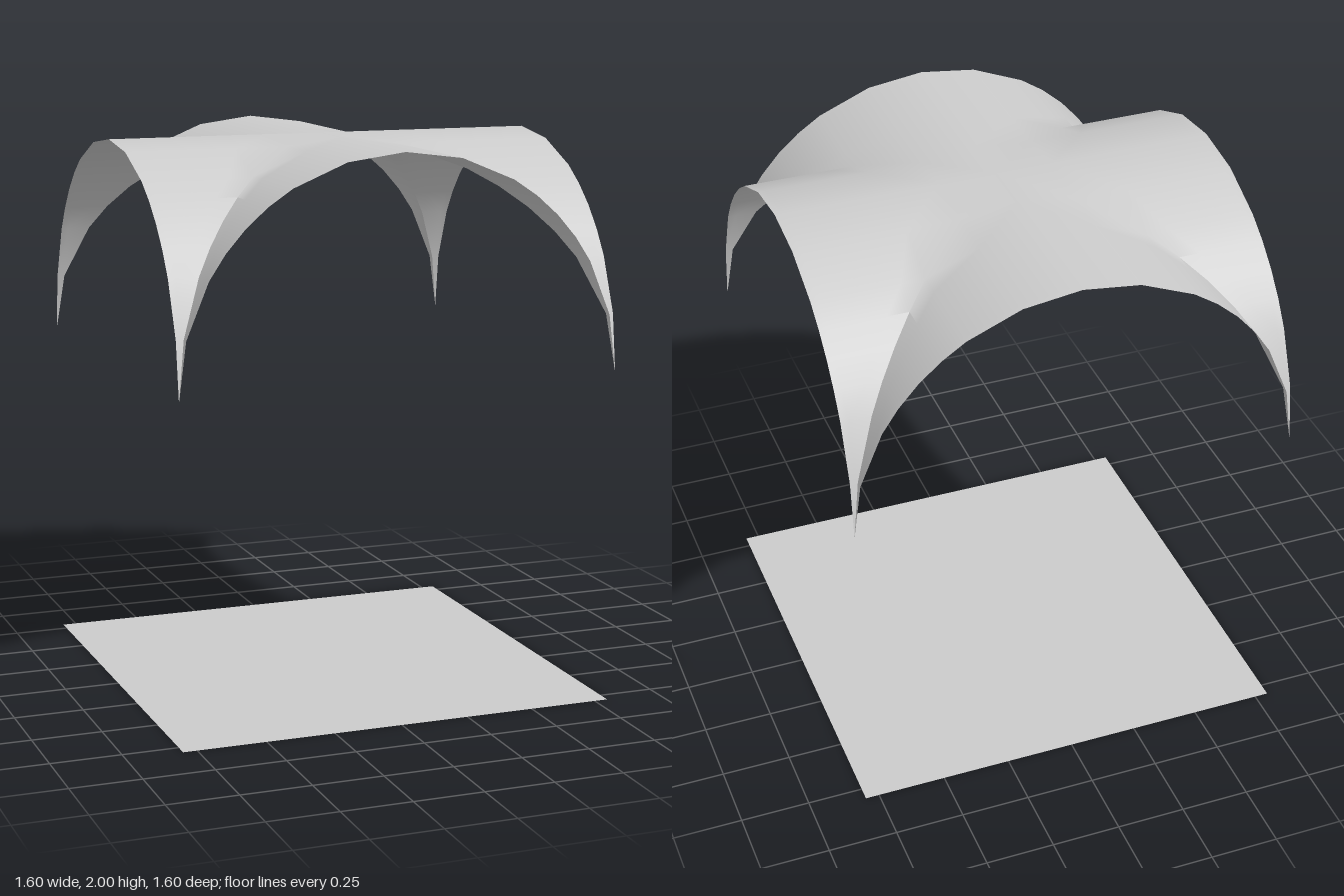
import * as THREE from 'three';
import { toCreasedNormals } from 'three/addons/utils/BufferGeometryUtils.js';

const R = 0.8;        // half span of the bay and radius of its arches
const SPRING = 1.2;   // height where the arches spring from the corners

// Arch stations, as angles from the crown
const half = [15, 30, 37.5, 45, 52.5, 60, 75, 90];
const angles = [...half.map(a => -a).reverse(), 0, ...half].map(THREE.MathUtils.degToRad);

// Two crossing barrel vaults, meeting along the diagonal groins
function vaultGeometry() {
  const n = angles.length, mid = (n - 1) / 2;
  const positions = [], index = [];
  for (const az of angles) {
    for (const ax of angles) {
      const t = Math.min(Math.abs(ax), Math.abs(az));
      positions.push(R * Math.sin(ax), SPRING + R * Math.cos(t), R * Math.sin(az));
    }
  }
  for (let j = 0; j < n - 1; j++) {
    for (let i = 0; i < n - 1; i++) {
      const a = j * n + i, b = a + n, c = b + 1, d = a + 1;
      // Split each cell along the direction of its groin
      if ((i < mid) === (j < mid)) index.push(a, b, c, a, c, d);
      else index.push(a, b, d, b, c, d);
    }
  }
  const geometry = new THREE.BufferGeometry();
  geometry.setAttribute('position', new THREE.Float32BufferAttribute(positions, 3));
  geometry.setIndex(index);
  // Soft at the crown, sharp groins towards the corners
  return toCreasedNormals(geometry, THREE.MathUtils.degToRad(50));
}

export function createModel() {
  const group = new THREE.Group();
  group.name = 'groinVaultBay';
  const material = new THREE.MeshStandardMaterial({ color: 0xcccccc, side: THREE.DoubleSide });

  const vault = new THREE.Mesh(vaultGeometry(), material);
  vault.name = 'vault';
  group.add(vault);

  // Square floor under the vault
  const floor = new THREE.Mesh(new THREE.PlaneGeometry(2 * R, 2 * R).rotateX(-Math.PI / 2), material);
  floor.name = 'floor';
  group.add(floor);

  return group;
}
